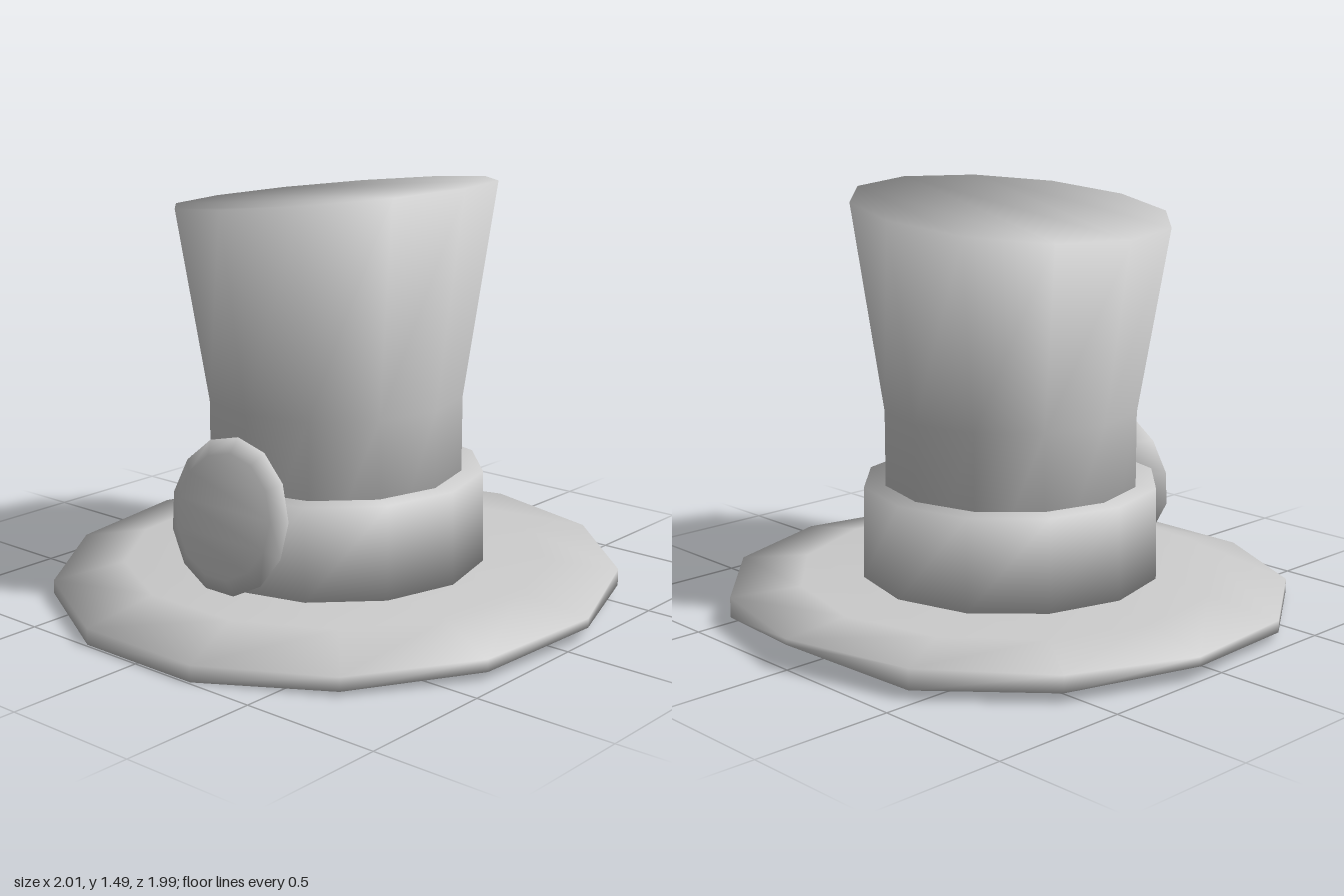
import * as THREE from 'three';

// Smooth normals weighted by the corner angle of every triangle
function smoothNormals(points, index) {
  const normals = points.map(() => new THREE.Vector3());
  for (let i = 0; i < index.length; i += 3) {
    const tri = [index[i], index[i + 1], index[i + 2]];
    const [a, b, c] = tri.map((t) => points[t]);
    const face = b.clone().sub(a).cross(c.clone().sub(a)).normalize();
    tri.forEach((t, j) => {
      const u = points[tri[(j + 1) % 3]].clone().sub(points[t]);
      const v = points[tri[(j + 2) % 3]].clone().sub(points[t]);
      normals[t].addScaledVector(face, u.angleTo(v));
    });
  }
  return normals.map((n) => n.normalize());
}

// Closed loft through n-sided rings [radius, height(k, x, z)], first corner at -z
function loft(n, rings) {
  const points = [], index = [];
  for (const [r, h] of rings) {
    for (let k = 0; k < n; k++) {
      const a = (k / n) * Math.PI * 2;
      const x = r * Math.sin(a), z = -r * Math.cos(a);
      points.push(new THREE.Vector3(x, typeof h === 'function' ? h(k, x, z) : h, z));
    }
  }
  for (let i = 0; i < rings.length - 1; i++) {
    for (let k = 0; k < n; k++) {
      const a = i * n + k, b = i * n + ((k + 1) % n);
      index.push(a, a + n, b, b, a + n, b + n);
    }
  }
  // Caps as left-to-right strips, so the shading rolls over the rim
  const cap = (start, up) => {
    const add = (a, b, c) => index.push(start + a, start + (up ? b : c), start + (up ? c : b));
    add(0, n - 1, 1);
    for (let k = 1; k + 1 < n - k; k++) {
      add(k, n - k, k + 1);
      if (n - k - 1 > k + 1) add(k + 1, n - k, n - k - 1);
    }
  };
  cap(0, false);
  cap((rings.length - 1) * n, true);

  const geometry = new THREE.BufferGeometry().setFromPoints(points);
  const normals = smoothNormals(points, index).flatMap((v) => v.toArray());
  geometry.setAttribute('normal', new THREE.Float32BufferAttribute(normals, 3));
  geometry.setIndex(index);
  return geometry;
}

export function createModel() {
  const hat = new THREE.Group();
  hat.name = 'topHat';
  const material = new THREE.MeshStandardMaterial({ color: 0xcccccc });
  const add = (name, geometry, y, z) => {
    const mesh = new THREE.Mesh(geometry, material);
    mesh.name = name;
    mesh.position.set(0, y, z);
    hat.add(mesh);
    return mesh;
  };

  // Brim: wavy underside, rim dipping to the front, flat top
  const under = [0.09, 0.035, 0.04, 0.055, 0.033, 0.018, 0.003];
  add('brim', loft(13, [
    [1.01, (k) => under[Math.min(k, 13 - k)]],
    [1.01, (k, x, z) => 0.085 - 0.025 * z],
    [0.76, 0.125],
  ]), 0, 0.01);

  // Crown: straight foot, flaring to a slanted top
  add('crown', loft(12, [
    [0.455, 0.12],
    [0.455, 0.73],
    [0.565, (k, x) => 1.432 + 0.11 * x],
  ]), 0, 0.018);

  // Band around the foot of the crown
  add('band', loft(12, [[0.535, 0.13], [0.53, 0.46]]), 0, 0.015);

  // Bevelled disc leaning against the band
  const disc = add('disc', loft(13, [[0.269, 0], [0.214, 0.03]]), 0.396, 0.56);
  disc.rotation.x = Math.PI / 2 - 0.19;

  return hat;
}
